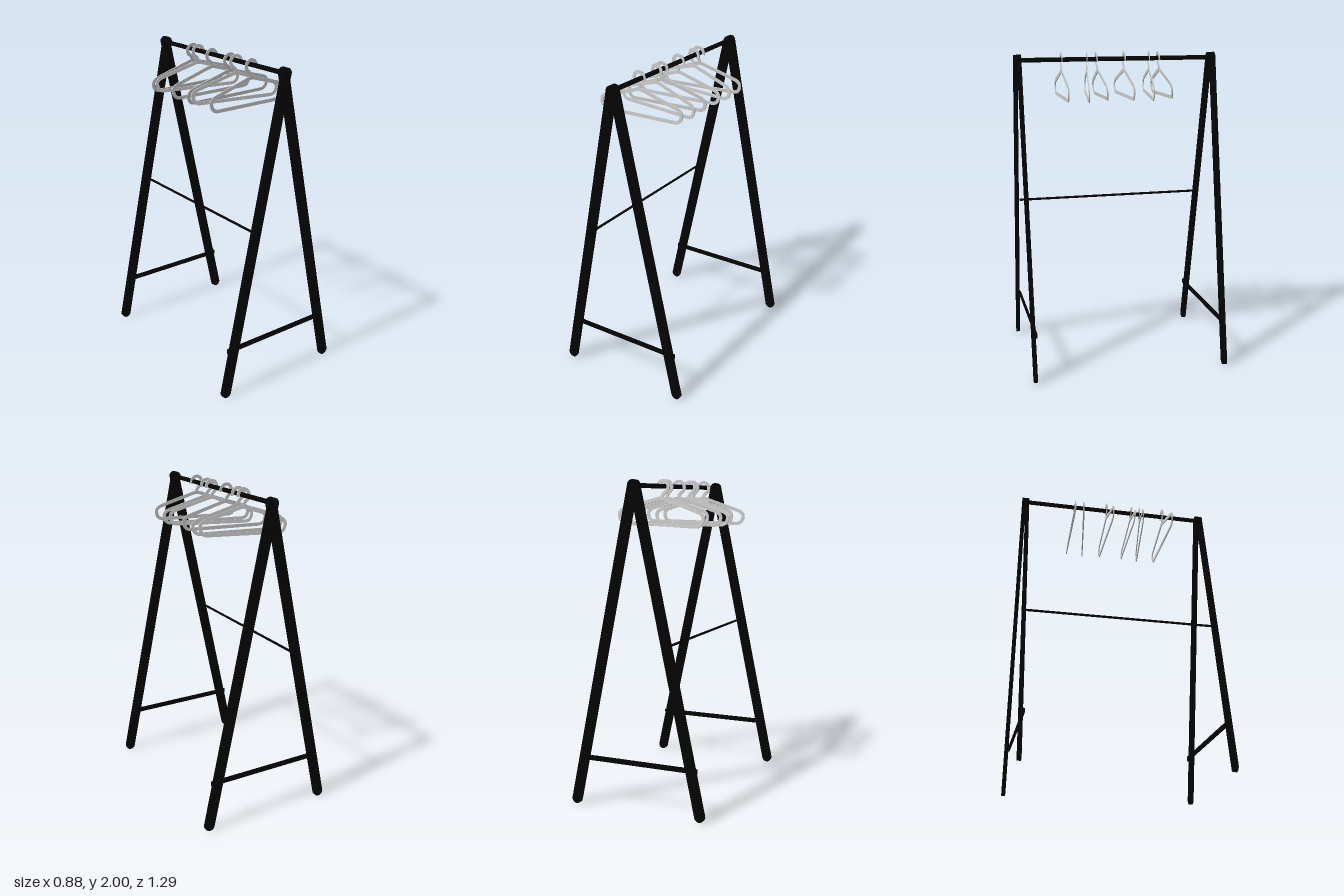
import * as THREE from 'three';

const black = new THREE.MeshStandardMaterial({ color: 0x040404 });
const grey = new THREE.MeshStandardMaterial({ color: 0xcccccc });
const HOOK_Y = 1.953; // height of the hook centres

function addMesh(parent, name, geometry, material) {
  const mesh = new THREE.Mesh(geometry, material);
  mesh.name = name;
  parent.add(mesh);
  return mesh;
}

// Round bar between two points
function addRod(parent, name, a, b, radius) {
  const dir = b.clone().sub(a);
  const rod = addMesh(parent, name, new THREE.CylinderGeometry(radius, radius, dir.length(), 20), black);
  rod.position.copy(a).add(b).multiplyScalar(0.5);
  rod.quaternion.setFromUnitVectors(new THREE.Vector3(0, 1, 0), dir.normalize());
}

// Flat board with round ends, leaning from its foot to the top of the frame
function addLeg(parent, name, side, footZ, topZ) {
  const r = 0.031, depth = 0.023, rise = 1.928, length = Math.hypot(0.41, rise);
  const shape = new THREE.Shape();
  shape.absarc(0, length, r, 0, Math.PI);
  shape.absarc(0, 0, r, Math.PI, Math.PI * 2);
  shape.closePath();
  const geo = new THREE.ExtrudeGeometry(shape, { depth, bevelEnabled: false, curveSegments: 16 });
  geo.translate(0, 0, -depth / 2);
  const leg = addMesh(parent, name, geo, black);
  leg.position.set(side * 0.41, r, footZ);
  leg.rotation.set(Math.atan2(topZ - footZ, rise), 0, side * Math.atan2(0.41, rise));
}

// Flat strip of constant width that follows a planar line of points
function bandGeometry(points, width, closed) {
  const n = points.length;
  const offset = (d) => points.map((p, i) => {
    const a = closed ? points[(i + n - 1) % n] : points[Math.max(i - 1, 0)];
    const b = closed ? points[(i + 1) % n] : points[Math.min(i + 1, n - 1)];
    const t = b.clone().sub(a).normalize();
    return new THREE.Vector2(p.x - t.y * d, p.y + t.x * d);
  });
  const one = offset(width / 2), two = offset(-width / 2);
  let shape;
  if (closed) {
    // the line runs clockwise: outer edge turned counterclockwise, hole left clockwise
    shape = new THREE.Shape(one.reverse());
    shape.holes.push(new THREE.Path(two));
  } else {
    shape = new THREE.Shape([...one, ...two.reverse()]);
  }
  const depth = 0.006;
  const geo = new THREE.ExtrudeGeometry(shape, { depth, bevelEnabled: false });
  return geo.translate(0, 0, -depth / 2);
}

// Hanger outlines, relative to the centre of the hook
function hangerGeometries() {
  const loop = new THREE.Path();
  loop.moveTo(0.03, -0.075);
  loop.lineTo(0.25, -0.142);
  loop.quadraticCurveTo(0.298, -0.157, 0.286, -0.194);
  loop.quadraticCurveTo(0.276, -0.228, 0.24, -0.228);
  loop.lineTo(-0.24, -0.228);
  loop.quadraticCurveTo(-0.276, -0.228, -0.286, -0.194);
  loop.quadraticCurveTo(-0.298, -0.157, -0.25, -0.142);
  loop.lineTo(-0.03, -0.075);
  loop.quadraticCurveTo(0, -0.064, 0.03, -0.075);
  const loopPoints = loop.getPoints(8);
  loopPoints.pop();

  // neck rises, sweeps round the left and ends open on the right
  const hook = new THREE.Path();
  hook.moveTo(0, -0.07);
  hook.lineTo(0, -0.058);
  hook.quadraticCurveTo(-0.004, -0.042, -0.0198, -0.0298);
  hook.absarc(0, 0, 0.0358, -2.157, -2.157 - 4.4, true);
  const hookPoints = hook.getPoints(20).filter((p, i, all) => i === 0 || p.distanceTo(all[i - 1]) > 1e-4);
  return { loop: bandGeometry(loopPoints, 0.021, true), hook: bandGeometry(hookPoints, 0.02, false) };
}

export function createModel() {
  const model = new THREE.Group();
  model.name = 'clothesRack';

  // A-frame at each end: two boards that touch at the top, and a low brace
  for (const [end, leftFoot, leftTop, rightFoot, rightTop, braceA, braceB] of [
    ['front', 0.604, 0.608, 0.634, 0.631, 0.614, 0.588],
    ['back', -0.634, -0.631, -0.604, -0.608, -0.588, -0.616],
  ]) {
    const frame = new THREE.Group();
    frame.name = end + 'Frame';
    addLeg(frame, 'leftLeg', 1, leftFoot, leftTop);
    addLeg(frame, 'rightLeg', -1, rightFoot, rightTop);
    const dz = braceB - braceA;
    const brace = addMesh(frame, 'lowBrace', new THREE.BoxGeometry(Math.hypot(0.77, dz), 0.03, 0.01), black);
    brace.position.set(0, 0.3, (braceA + braceB) / 2);
    brace.rotation.y = -Math.atan2(dz, 0.77);
    model.add(frame);
  }

  // Lengthwise rails
  const v = (x, y, z) => new THREE.Vector3(x, y, z);
  addRod(model, 'hangingRail', v(-0.008, 1.956, -0.61), v(-0.003, 1.956, 0.61), 0.014);
  addRod(model, 'middleRail', v(-0.193, 1.03, -0.6), v(-0.187, 1.03, 0.613), 0.0075);

  // Two sets of three hangers: straight, turned and tipped
  const geos = hangerGeometries();
  for (const shift of [0, 0.4]) {
    for (const [x, z, pitch, yaw, roll] of [
      [-0.024, -0.055, 0, 0, 0.025],
      [-0.015, -0.215, 0, -0.13, 0],
      [-0.018, -0.277, 0.11, -0.03, 0.05],
    ]) {
      const hanger = new THREE.Group();
      hanger.name = 'hanger';
      addMesh(hanger, 'hangerLoop', geos.loop, grey);
      addMesh(hanger, 'hangerHook', geos.hook, grey);
      hanger.position.set(x, HOOK_Y, z + shift);
      hanger.rotation.set(pitch, yaw, roll);
      model.add(hanger);
    }
  }
  return model;
}
